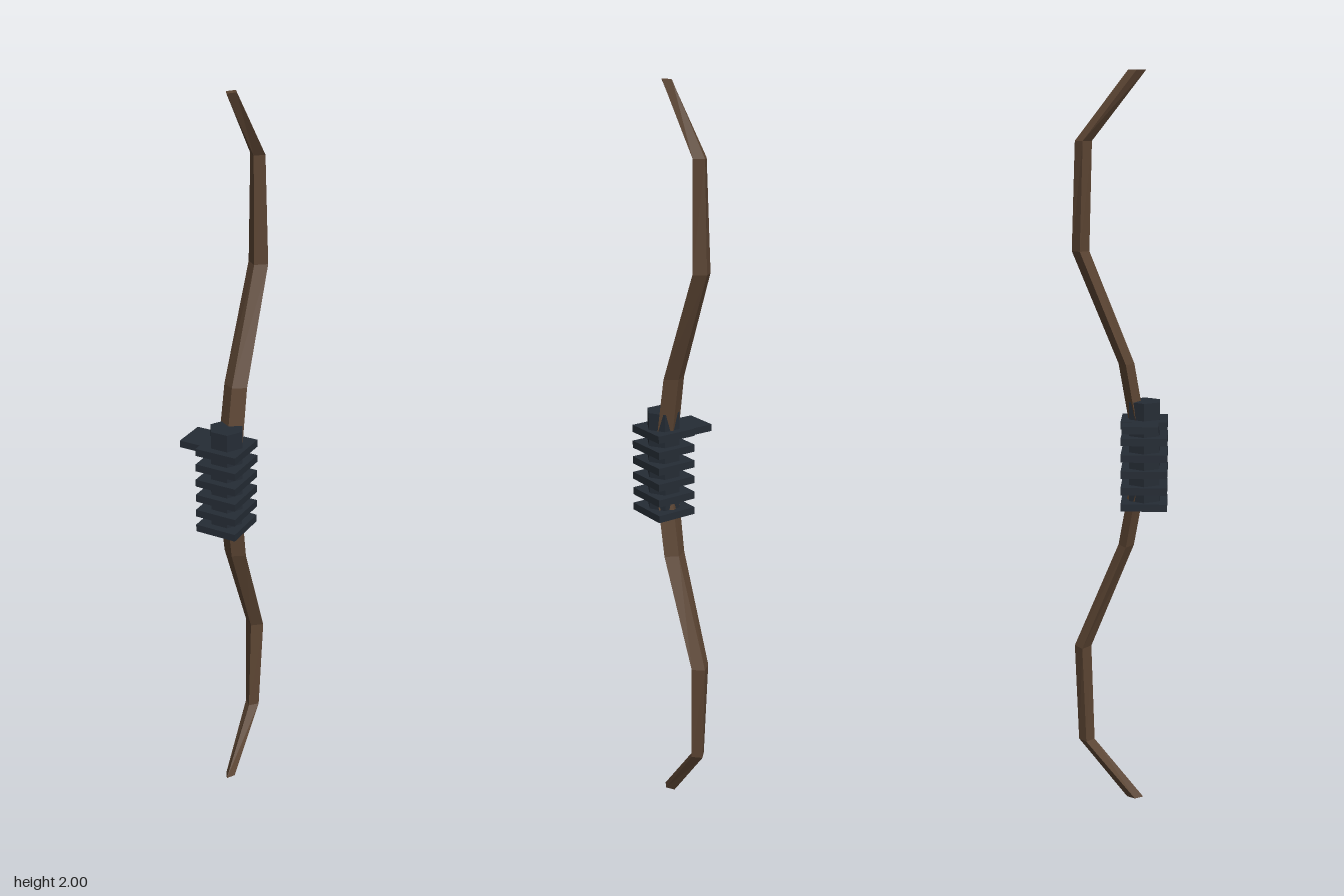
import * as THREE from 'three';

const wood = new THREE.MeshStandardMaterial({ color: 0x5c4533, flatShading: true });
const dark = new THREE.MeshStandardMaterial({ color: 0x252c35, flatShading: true });
const CX = 0.029; // centre plane of the bow

// Upper half of the bow stave: [height above middle, z, half width, half depth]
const upper = [
  [0, 0.06, 0.036, 0.021],
  [0.25, 0.016, 0.033, 0.021],
  [0.545, -0.104, 0.028, 0.023],
  [0.825, -0.095, 0.021, 0.022],
  [1, 0.042, 0.014, 0.023],
];

// Diamond-section stave, bent and tapered ring by ring
function makeStave() {
  const rings = [
    ...upper.slice(1).reverse().map(([h, ...rest]) => [1 - h, ...rest]),
    ...upper.map(([h, ...rest]) => [1 + h, ...rest]),
  ];
  const n = rings.length - 1;
  const geo = new THREE.CylinderGeometry(1, 1, 1, 4, n);
  const pos = geo.attributes.position;
  for (let i = 0; i < pos.count; i++) {
    const [y, z, w, d] = rings[Math.round((pos.getY(i) + 0.5) * n)];
    pos.setXYZ(i, CX + pos.getX(i) * w, y, z + pos.getZ(i) * d);
  }
  geo.computeVertexNormals();
  return geo;
}

export function createModel() {
  const group = new THREE.Group();
  const add = (name, geo, mat, x = 0, y = 0, z = 0) => {
    const mesh = new THREE.Mesh(geo, mat);
    mesh.name = name;
    mesh.position.set(x, y, z);
    group.add(mesh);
  };

  add('stave', makeStave(), wood);

  // Hexagonal grip core with corners to the left and right
  add('grip', new THREE.CylinderGeometry(0.047, 0.047, 0.29, 6, 1, false, Math.PI / 2), dark, CX, 1.005, 0.065);

  // Square ribs around the grip
  for (let i = 0; i < 6; i++) {
    add('gripRib', new THREE.BoxGeometry(0.116, 0.02, 0.124), dark, CX, 0.869 + i * 0.0448, 0.065);
  }

  // Arrow rest sticking out on the right
  add('arrowRest', new THREE.BoxGeometry(0.12, 0.019, 0.095), dark, -0.029, 1.093, 0.056);

  return group;
}
